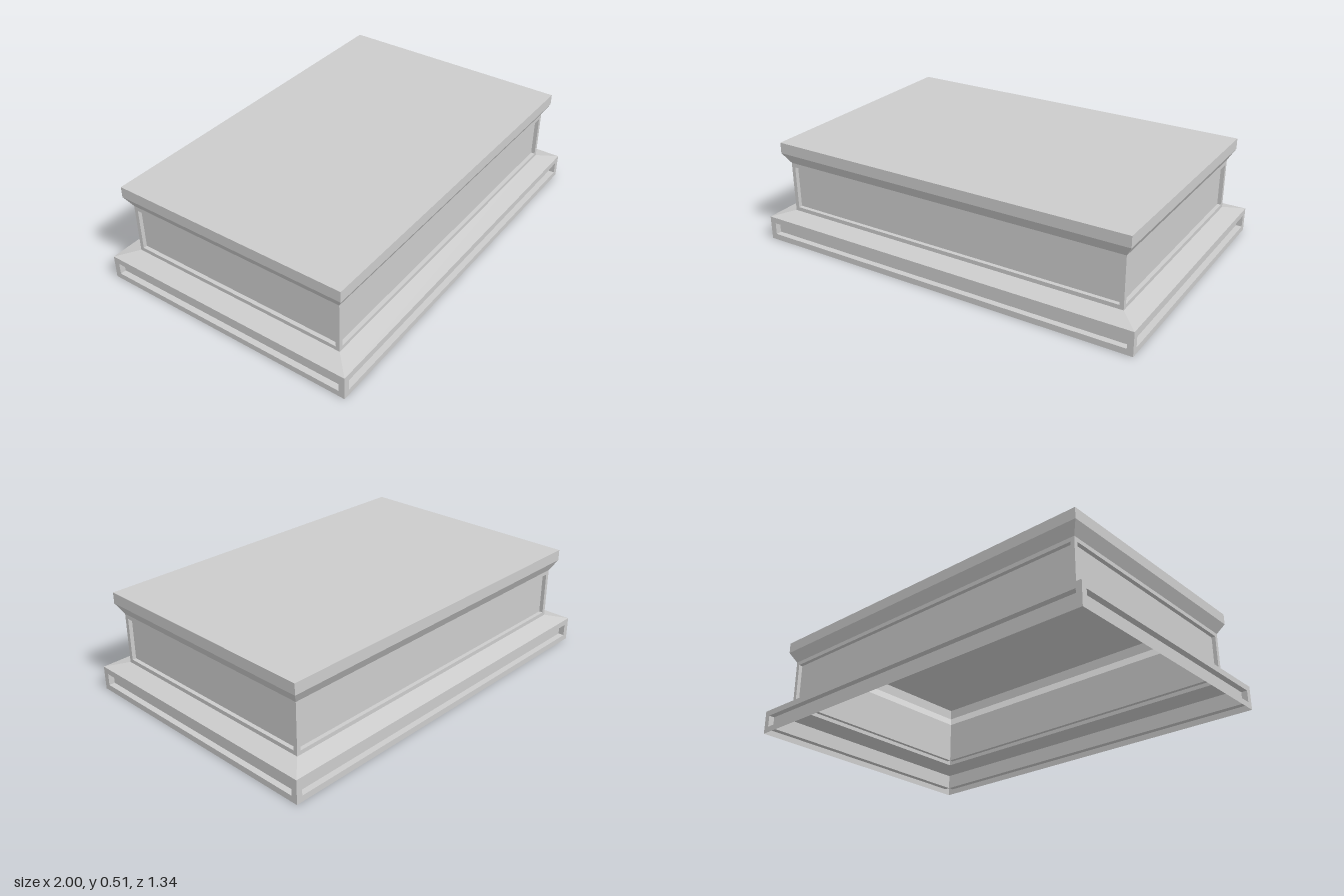
import * as THREE from 'three';

const material = new THREE.MeshStandardMaterial({ color: 0xcccccc, flatShading: true, side: THREE.DoubleSide });

// Joins successive four-cornered rings with flat quads, optionally closing the last ring
function loft(name, rings, closeEnd) {
  const points = [];
  const quad = (a, b, c, d) => points.push(a, b, c, a, c, d);
  for (let r = 0; r < rings.length - 1; r++) {
    for (let i = 0; i < 4; i++) {
      const j = (i + 1) % 4;
      quad(rings[r][i], rings[r][j], rings[r + 1][j], rings[r + 1][i]);
    }
  }
  if (closeEnd) quad(...rings[rings.length - 1]);
  const geometry = new THREE.BufferGeometry().setFromPoints(points);
  geometry.computeVertexNormals();
  const mesh = new THREE.Mesh(geometry, material);
  mesh.name = name;
  return mesh;
}

// Horizontal ring, counter-clockwise seen from above
const level = (hx, hz, y) => [[-hx, hz], [hx, hz], [hx, -hz], [-hx, -hz]]
  .map(([x, z]) => new THREE.Vector3(x, y, z));

// Upright ring facing +z
const upright = (hw, y0, y1, z) => [[-hw, y0], [hw, y0], [hw, y1], [-hw, y1]]
  .map(([x, y]) => new THREE.Vector3(x, y, z));

// Four walls, each with a framed, sunken panel
function panelledWalls(name, hx, hz, y0, y1, inset, depth) {
  const walls = new THREE.Group();
  walls.name = name;
  for (let i = 0; i < 4; i++) {
    const [hw, dist] = i % 2 ? [hz, hx] : [hx, hz];
    const wall = loft(name + 'Panel', [
      upright(hw, y0, y1, dist),
      upright(hw - inset, y0 + inset, y1 - inset, dist),
      upright(hw - inset, y0 + inset, y1 - inset, dist - depth),
    ], true);
    wall.rotation.y = i * Math.PI / 2;
    walls.add(wall);
  }
  return walls;
}

export function createModel() {
  const plinth = new THREE.Group();
  plinth.name = 'plinth';
  const base = [0.997, 0.668], body = [0.904, 0.577], cap = [0.936, 0.608];

  // Hollow shell, open underneath
  plinth.add(
    panelledWalls('base', ...base, 0, 0.12, 0.03, 0.03),
    loft('baseSlope', [level(...base, 0.12), level(...body, 0.143)]),
    panelledWalls('body', ...body, 0.143, 0.4, 0.02, 0.02),
    loft('cap', [level(...body, 0.4), level(...cap, 0.455), level(...cap, 0.51)], true),
  );

  // Very slight turn about the vertical
  plinth.rotation.y = -0.004;
  const model = new THREE.Group();
  model.name = 'model';
  model.add(plinth);
  return model;
}
